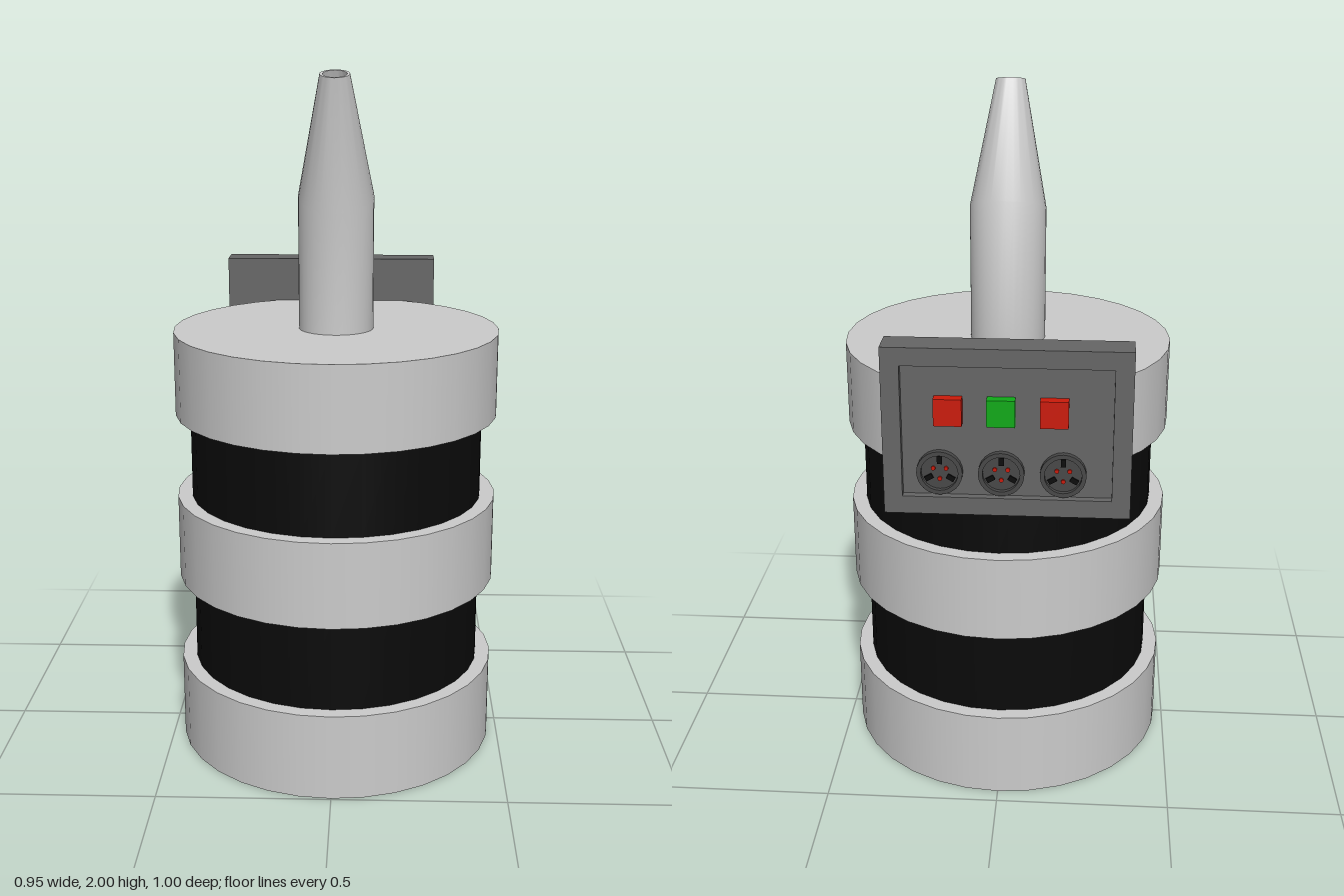
import * as THREE from 'three';
import { toCreasedNormals } from 'three/addons/utils/BufferGeometryUtils.js';

const mat = (color) => new THREE.MeshStandardMaterial({ color });
const AXIS_Z = 0.02;

// Tube through tilted rings [radius, zRadius, y, z, slope], listed bottom to top
function sleeve(rings, sides) {
  const rows = [...rings].reverse();
  const geo = new THREE.CylinderGeometry(1, 1, 1, sides, rows.length - 1, true);
  const p = geo.attributes.position;
  for (let i = 0; i < p.count; i++) {
    const [r, rz, y, z, slope] = rows[Math.floor(i / (sides + 1))];
    const dz = p.getZ(i) * rz;
    p.setXYZ(i, p.getX(i) * r, y + slope * dz, z + dz);
  }
  return toCreasedNormals(geo, 0.6);
}

export function createModel() {
  const model = new THREE.Group();
  const grey = mat(0xcccccc), black = mat(0x0a0a0a), dark = mat(0x666666);
  const socketGrey = mat(0x484848), red = mat(0xcc1a0a), green = mat(0x10aa18);

  const add = (name, geo, material, x = 0, y = 0, z = 0, parent = model) => {
    const mesh = new THREE.Mesh(geo, material);
    mesh.name = name;
    mesh.position.set(x, y, z);
    parent.add(mesh);
    return mesh;
  };

  // Drum: wide grey bands alternating with narrower black ones
  const levels = [0, 0.255, 0.52, 0.77, 1.02, 1.265];
  for (let i = 0; i < 5; i++) {
    const h = levels[i + 1] - levels[i];
    const wide = i % 2 === 0;
    const r = wide ? 0.475 : 0.432;
    add(wide ? 'drumBand' : 'blackBand', new THREE.CylinderGeometry(r, r, h, 32),
      wide ? grey : black, 0, levels[i] + h / 2, AXIS_Z);
  }

  // Bent, tapering spout with a short bore at the tip
  add('spout', sleeve([
    [0.109, 0.109, 1.26, 0.022, 0],
    [0.109, 0.108, 1.65, 0.022, -0.37],
    [0.042, 0.04, 1.99, 0.135, -0.25],
    [0.034, 0.033, 1.99, 0.135, -0.25],
    [0.034, 0.033, 1.933, 0.115, -0.25],
    [0, 0, 1.933, 0.115, 0],
  ], 32), grey);

  // Control panel on the back; its local +z points outwards, to the model's back
  const panel = new THREE.Group();
  panel.name = 'controlPanel';
  panel.position.set(-0.03, 1.165, -0.41);
  panel.rotation.y = Math.PI;
  model.add(panel);
  const onPanel = (name, geo, material, x, y, z) => add(name, geo, material, x, y, z, panel);

  const W = 0.66, H = 0.47, T = 0.09, RECESS = 0.022, RIM = 0.05;
  const floor = T - RECESS;
  onPanel('panelBody', new THREE.BoxGeometry(W, H, floor), dark, 0, 0, floor / 2);
  const rect = (path, w, h) => path.moveTo(-w, -h).lineTo(w, -h).lineTo(w, h).lineTo(-w, h).closePath();
  const frame = rect(new THREE.Shape(), W / 2, H / 2);
  frame.holes.push(rect(new THREE.Path(), W / 2 - RIM, H / 2 - RIM));
  onPanel('panelFrame', new THREE.ExtrudeGeometry(frame, { depth: RECESS, bevelEnabled: false }),
    dark, 0, 0, floor);

  // Square push buttons
  [red, green, red].forEach((material, i) => {
    onPanel('button', new THREE.BoxGeometry(0.075, 0.075, 0.03), material,
      -0.015 + (i - 1) * 0.14, 0.06, floor + 0.015);
  });

  // Round sockets: a cup passing through the panel, with pin slots and red contacts
  const cupProfile = [[0, -0.005], [0.062, -0.005], [0.062, 0.085], [0.05, 0.085], [0.05, 0.072], [0, 0.072]]
    .map(([r, y]) => new THREE.Vector2(r, y));
  const cupGeo = toCreasedNormals(new THREE.LatheGeometry(cupProfile, 24).rotateX(Math.PI / 2), 0.6);
  for (let i = -1; i <= 1; i++) {
    const x = -0.015 + i * 0.165, y = -0.118;
    onPanel('socket', cupGeo, socketGrey, x, y, 0);
    for (let k = 0; k < 3; k++) {
      const a = Math.PI / 2 + k * Math.PI * 2 / 3;
      const slot = onPanel('socketSlot', new THREE.BoxGeometry(0.022, 0.014, 0.006), black,
        x + 0.034 * Math.cos(a), y + 0.034 * Math.sin(a), 0.074);
      slot.rotation.z = a;
      onPanel('socketContact', new THREE.CylinderGeometry(0.006, 0.006, 0.006, 10).rotateX(Math.PI / 2),
        red, x - 0.02 * Math.cos(a), y - 0.02 * Math.sin(a), 0.074);
    }
  }
  return model;
}
